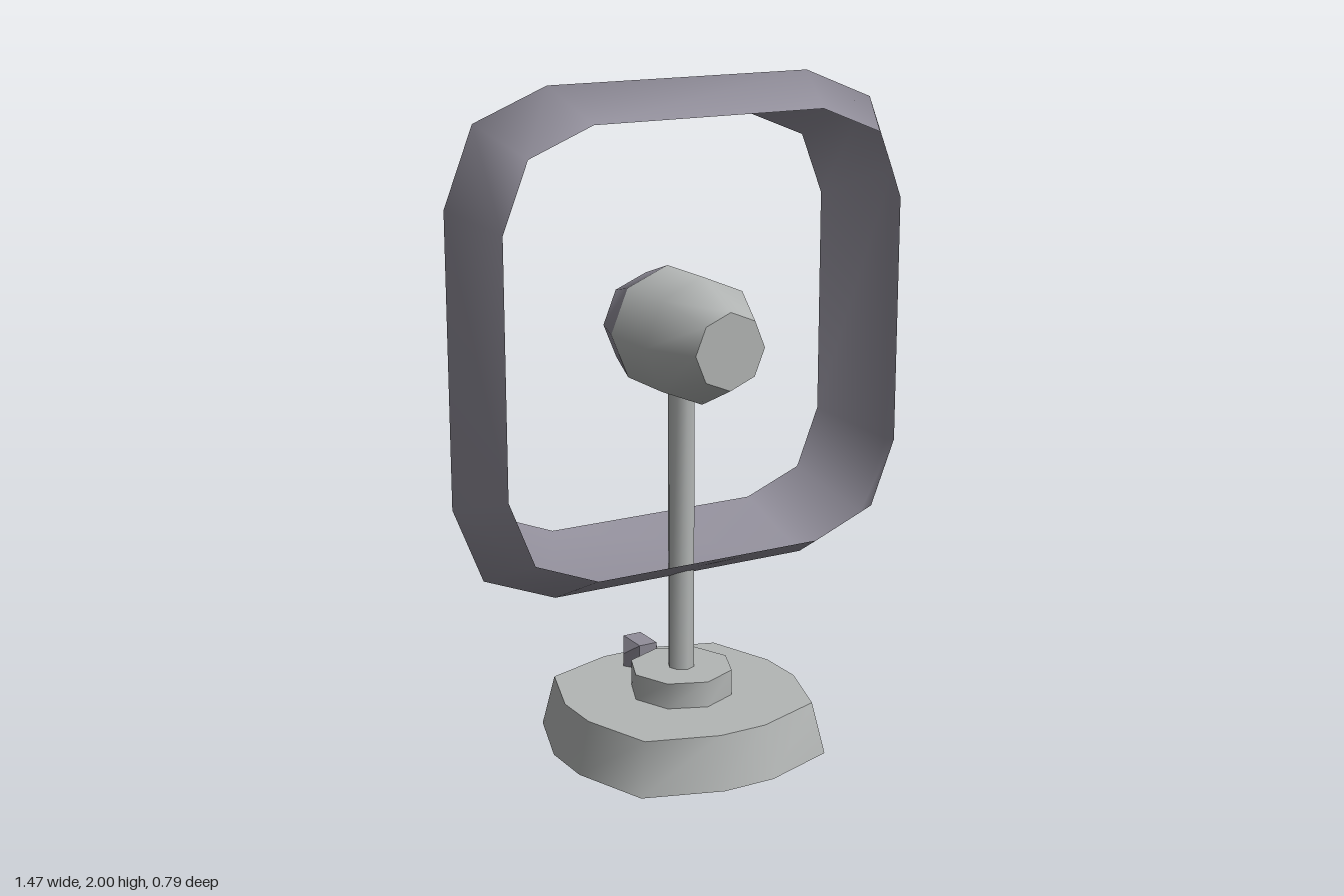
import * as THREE from 'three';
import { toCreasedNormals } from 'three/addons/utils/BufferGeometryUtils.js';
import { ConvexGeometry } from 'three/addons/geometries/ConvexGeometry.js';

// Twelve-sided rounded square: flat = half length of a side, diag = corner position
function roundedSquare(half, flat, diag) {
  const pts = [];
  for (let i = 0; i < 4; i++) {
    const c = Math.round(Math.cos(i * Math.PI / 2)), s = Math.round(Math.sin(i * Math.PI / 2));
    for (const [u, v] of [[1, -flat], [1, flat], [diag, diag]]) {
      pts.push([half * (u * c - v * s), half * (u * s + v * c)]);
    }
  }
  return pts;
}

// Open band through sections [half size, height along z], facing outward
function band(sections, flat, diag) {
  const pos = [], idx = [], n = 12;
  for (const [half, z] of sections) {
    for (const [x, y] of roundedSquare(half, flat, diag)) pos.push(x, y, z);
  }
  for (let r = 0; r < sections.length - 1; r++) {
    for (let i = 0; i < n; i++) {
      const a = r * n + i, b = r * n + (i + 1) % n;
      idx.push(a, b, b + n, a, b + n, a + n);
    }
  }
  const g = new THREE.BufferGeometry();
  g.setAttribute('position', new THREE.Float32BufferAttribute(pos, 3));
  g.setIndex(idx);
  g.computeVertexNormals();
  return g;
}

export function createModel() {
  const group = new THREE.Group();
  const lightGrey = new THREE.MeshStandardMaterial({ color: 0xb3b6b5, side: THREE.DoubleSide });
  lightGrey.name = 'light grey';
  const purpleGrey = new THREE.MeshStandardMaterial({ color: 0x918e9a, side: THREE.DoubleSide });
  purpleGrey.name = 'purple grey';

  const add = (name, geometry, material, x = 0, y = 0, z = 0) => {
    const mesh = new THREE.Mesh(geometry, material);
    mesh.name = name;
    mesh.position.set(x, y, z);
    group.add(mesh);
    return mesh;
  };
  const creased = (g) => toCreasedNormals(g, 0.9);

  // Hollow foot: sloping wall and a flat top, open underneath
  const wall = band([[0.393, 0], [0.357, 0.158]], 0.21, 0.8);
  add('baseWall', wall.rotateX(-Math.PI / 2), lightGrey);
  const topShape = new THREE.Shape(roundedSquare(0.357, 0.21, 0.8).map(([x, y]) => new THREE.Vector2(x, y)));
  add('baseTop', new THREE.ShapeGeometry(topShape).rotateX(-Math.PI / 2), lightGrey, 0, 0.158);

  // Collar and pole
  add('collar', creased(new THREE.CylinderGeometry(0.157, 0.157, 0.08, 8)), lightGrey, 0, 0.197);
  add('pole', creased(new THREE.CylinderGeometry(0.04, 0.04, 0.9, 8)), lightGrey, 0, 0.67);

  // Faceted switch knob behind the pole
  const knobPoints = [];
  for (const y of [0.15, 0.198]) {
    for (let i = 0; i < 6; i++) {
      const a = i * Math.PI / 3;
      knobPoints.push(new THREE.Vector3(0.06 * Math.cos(a), y, 0.052 * Math.sin(a)));
    }
  }
  for (const x of [-0.03, 0.03]) {
    for (const z of [-0.052, 0.052]) knobPoints.push(new THREE.Vector3(x, 0.236, z));
  }
  add('switchKnob', new ConvexGeometry(knobPoints), purpleGrey, 0, 0, -0.256);

  // Motor housing: light front, darker back, both eight-sided
  const housing = (profile) => {
    const pts = profile.map(([r, z]) => new THREE.Vector2(r, z));
    return creased(new THREE.LatheGeometry(pts, 8).rotateX(Math.PI / 2));
  };
  add('housingFront', housing([[0.187, -0.08], [0.187, 0.12], [0.113, 0.275], [0, 0.275]]), lightGrey, 0, 1.265);
  add('housingBack', housing([[0, -0.21], [0.143, -0.21], [0.187, -0.08]]), purpleGrey, 0, 1.265);

  // Large open frame: a thin band ridged along its middle
  const frame = band([[0.595, -0.173], [0.736, 0], [0.644, 0.171]], 0.572, 0.878);
  add('frameRing', frame, purpleGrey, 0, 1.265);

  return group;
}
